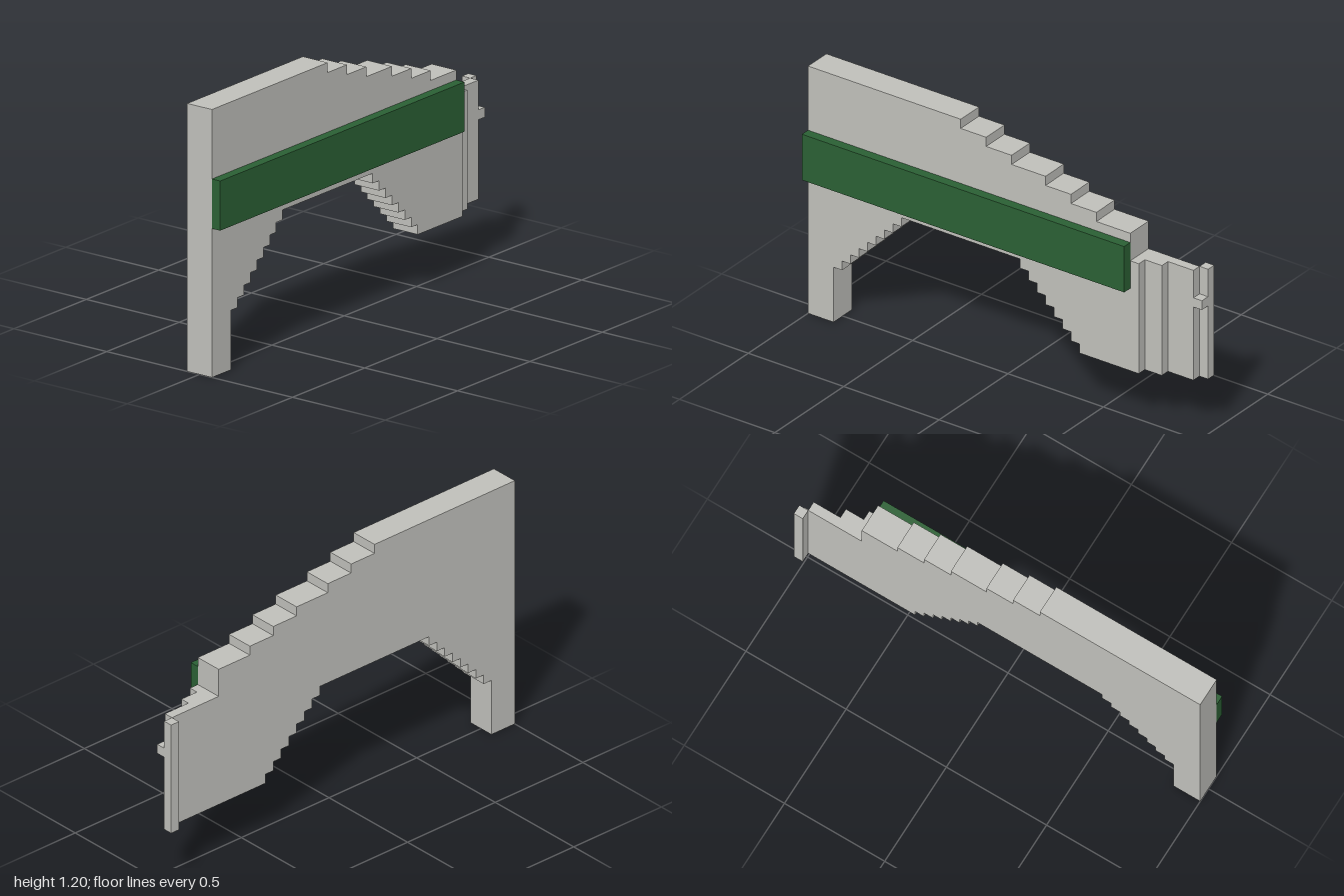
import * as THREE from 'three';

const U = 2 / 45; // one grid cell

export function createModel() {
  const model = new THREE.Group();
  const grey = new THREE.MeshStandardMaterial({ color: 0xc0c0bb });
  grey.name = 'light grey';
  const green = new THREE.MeshStandardMaterial({ color: 0x2b6034 });
  green.name = 'dark green';

  // box from cell limits: x from the left end, y from the ground, z from the centre
  const block = (name, material, x0, x1, y0, y1, z0, z1) => {
    const geometry = new THREE.BoxGeometry((x1 - x0) * U, (y1 - y0) * U, (z1 - z0) * U);
    const mesh = new THREE.Mesh(geometry, material);
    mesh.name = name;
    mesh.position.set(((x0 + x1) / 2 - 22.5) * U, ((y0 + y1) / 2) * U, ((z0 + z1) / 2) * U);
    model.add(mesh);
  };

  // stepped arch panel, outlined counter-clockwise from the leg
  const points = [[0, 0], [3, 0], [3, 6]];
  for (let i = 0; i < 8; i++) points.push([4 + i, 6 + i], [4 + i, 7 + i]); // rising left steps
  for (let i = 0; i < 8; i++) points.push([25 + i, 14 - i], [25 + i, 13 - i]); // falling right steps
  points.push([39, 6], [39, 18], [38, 18]);
  [38, 34, 31, 28, 24, 21, 18].forEach((x, i, xs) => {
    points.push([x, 21 + i], [xs[i + 1] ?? 0, 21 + i]); // stepped top edge
  });
  const outline = new THREE.Shape(points.map(([x, y]) => new THREE.Vector2((x - 22.5) * U, y * U)));
  const panel = new THREE.Mesh(
    new THREE.ExtrudeGeometry(outline, { depth: 3 * U, bevelEnabled: false }), grey);
  panel.name = 'archPanel';
  panel.position.z = -1.5 * U;
  model.add(panel);

  // end that thins out toward the back
  block('endStepThick', grey, 39, 41, 6, 18, -1.5, 0.5);
  block('endStepThin', grey, 41, 44, 6, 18, -1.5, -0.5);
  block('endPost', grey, 44, 45, 6, 18, -2.5, -1.5);
  block('endTab', grey, 44, 45, 14, 15, -1.5, -0.5);

  // raised band along the front
  block('frontBand', green, 0, 38, 15, 20, 1.5, 2.5);

  return model;
}
